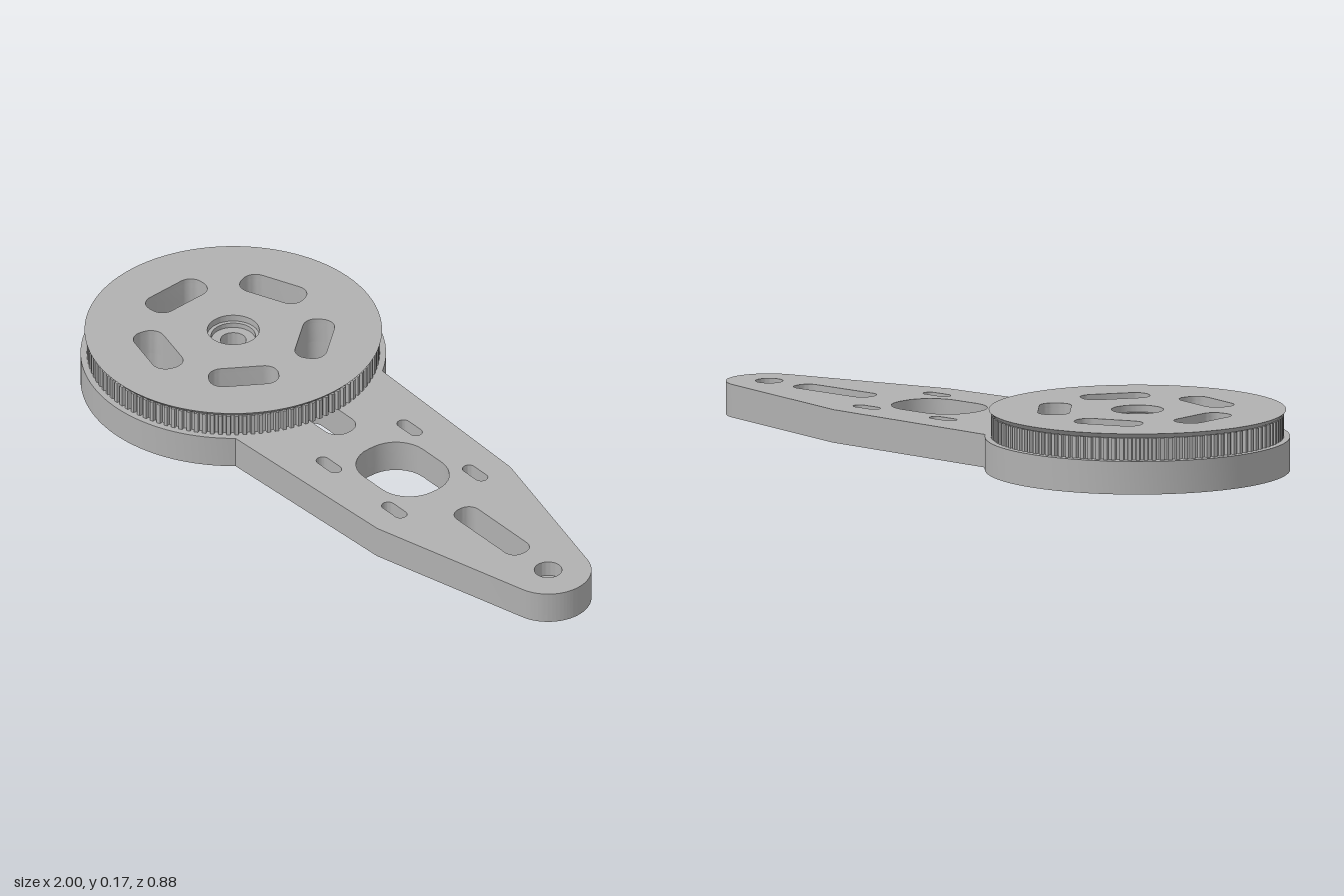
import * as THREE from 'three';
import { toCreasedNormals } from 'three/addons/utils/BufferGeometryUtils.js';

const ARM_TOP = 0.0965, TEETH_TOP = 0.161, TOP = 0.175;
const HUB_X = -0.56;

// Rounded slot outline centred at (cx, cy), turned by angle
function slot(cx, cy, length, width, angle = 0, radius = width / 2) {
  const points = [];
  const hx = length / 2 - radius, hy = width / 2 - radius;
  [[1, 1], [-1, 1], [-1, -1], [1, -1]].forEach(([sx, sy], corner) => {
    for (let i = 0; i <= 8; i++) {
      const a = (corner + i / 8) * Math.PI / 2;
      points.push(new THREE.Vector2(sx * hx + radius * Math.cos(a), sy * hy + radius * Math.sin(a))
        .rotateAround(new THREE.Vector2(), angle).add(new THREE.Vector2(cx, cy)));
    }
  });
  return new THREE.Path(points);
}

function circle(cx, cy, r, Type = THREE.Path) {
  return new Type().absarc(cx, cy, r, 0, Math.PI * 2, false);
}

// Five slots spaced around a centre
function spokeSlots(cx) {
  return Array.from({ length: 5 }, (_, k) => {
    const a = -(176 + 72 * k) * Math.PI / 180;
    return slot(cx + 0.239 * Math.cos(a), 0.239 * Math.sin(a), 0.203, 0.092, a + Math.PI / 2, 0.04);
  });
}

// Upright extrusion from y0 to y1
function plate(shape, y0, y1, curveSegments = 48) {
  return new THREE.ExtrudeGeometry(shape, { depth: y1 - y0, bevelEnabled: false, curveSegments })
    .rotateX(-Math.PI / 2).translate(0, y0, 0);
}

export function createModel() {
  const model = new THREE.Group();
  model.name = 'pulleyArm';
  const grey = new THREE.MeshStandardMaterial({ color: 0xb0b0b0 });
  grey.name = 'grey';

  const add = (name, geometry, parent = model) => {
    const mesh = new THREE.Mesh(toCreasedNormals(geometry, 0.4), grey);
    mesh.name = name;
    parent.add(mesh);
    return mesh;
  };

  // Arm: round base, waist and tapered rounded tip
  const arm = new THREE.Shape();
  const start = Math.atan2(0.273, 0.345);
  arm.absarc(HUB_X, 0, 0.44, start, Math.PI * 2 - start, false);
  arm.lineTo(0.4, -0.248);
  arm.absarc(0.875, 0, 0.125, -1.31, 1.31, false);
  arm.lineTo(0.4, 0.248);
  arm.closePath();
  arm.holes.push(
    ...spokeSlots(HUB_X),
    circle(HUB_X, 0, 0.064),
    slot(-0.147, 0, 0.225, 0.1, 0, 0.045),
    slot(0.212, 0, 0.285, 0.22, 0, 0.1),
    slot(0.618, 0, 0.29, 0.08, 0, 0.035),
    circle(0.875, 0, 0.04),
  );
  for (const x of [0.06, 0.358]) {
    for (const y of [-0.15, 0.15]) arm.holes.push(slot(x, y, 0.094, 0.038));
  }
  add('arm', plate(arm, 0, ARM_TOP));

  // Ledge at the bottom of the tip bore
  const ring = [[0.021, 0], [0.04, 0], [0.04, 0.05], [0.021, 0.05], [0.021, 0]];
  add('tipBore', new THREE.LatheGeometry(ring.map(p => new THREE.Vector2(...p)), 48)).position.x = 0.875;

  const pulley = new THREE.Group();
  pulley.name = 'pulley';
  pulley.position.x = HUB_X;
  model.add(pulley);

  // Toothed rim
  const teeth = 112, rim = [];
  for (let i = 0; i < teeth; i++) {
    [[0, 0.422], [0.45, 0.422], [0.55, 0.411], [0.9, 0.411]].forEach(([t, r]) => {
      const a = (i + t) / teeth * Math.PI * 2;
      rim.push(new THREE.Vector2(r * Math.cos(a), r * Math.sin(a)));
    });
  }
  const toothed = new THREE.Shape(rim);
  toothed.holes.push(...spokeSlots(0), circle(0, 0, 0.075));
  add('toothedWheel', plate(toothed, ARM_TOP, TEETH_TOP), pulley);

  // Flange, narrowing towards the teeth
  const disc = circle(0, 0, 0.4285, THREE.Shape);
  disc.holes.push(...spokeSlots(0), circle(0, 0, 0.075));
  const flange = plate(disc, TEETH_TOP, TOP);
  const pos = flange.attributes.position;
  for (let i = 0; i < pos.count; i++) {
    const x = pos.getX(i), z = pos.getZ(i);
    if (pos.getY(i) < TOP - 0.005 && Math.hypot(x, z) > 0.4) {
      pos.setX(i, x * 0.97);
      pos.setZ(i, z * 0.97);
    }
  }
  add('flange', flange, pulley);

  // Stepped hub with a through hole
  const hub = [[0.037, 0.03], [0.064, 0.03], [0.064, ARM_TOP], [0.075, ARM_TOP], [0.075, 0.155],
    [0.064, 0.155], [0.064, 0.14], [0.037, 0.14], [0.037, 0.03]];
  add('hub', new THREE.LatheGeometry(hub.map(p => new THREE.Vector2(...p)), 64), pulley);

  return model;
}
